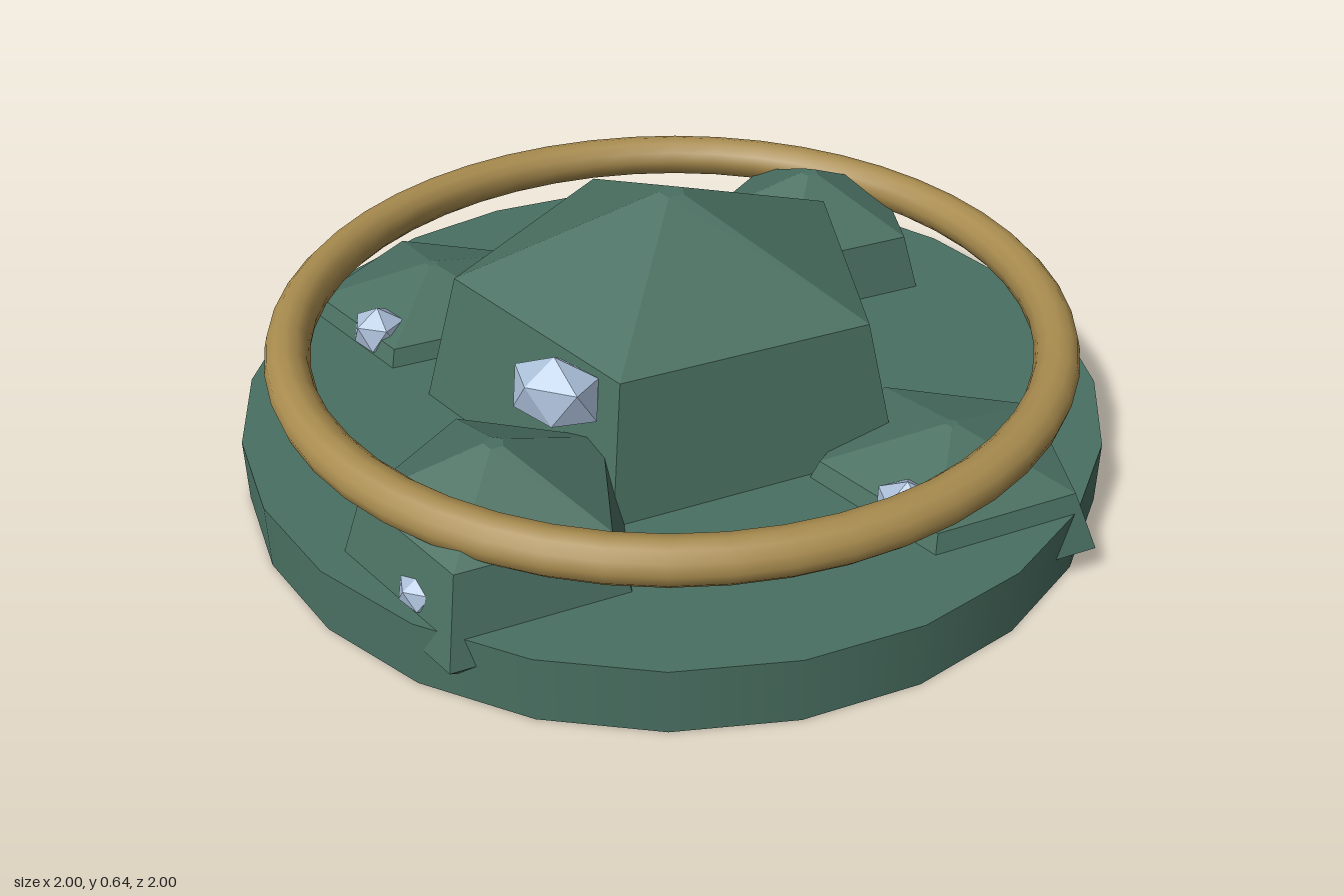
import * as THREE from 'three';

const mat = (name, color) => new THREE.MeshStandardMaterial({ name, color });

// Splits shared corners so every face is shaded flat
function faceted(geometry) {
  const flat = geometry.index ? geometry.toNonIndexed() : geometry;
  flat.computeVertexNormals();
  return flat;
}

// Five-sided rock with one corner towards +x, from [radius, y] pairs, bottom to top
function rockGeometry(profile) {
  const points = profile.map(([r, y]) => new THREE.Vector2(r, y));
  return faceted(new THREE.LatheGeometry(points, 5).rotateY(Math.PI / 2));
}

export function createModel() {
  const model = new THREE.Group();
  const green = mat('mossGreen', 0x4a7062);
  const gold = mat('oldGold', 0xa88b4e);
  const blue = mat('paleCrystal', 0xabbfd8);
  const cx = -0.022;

  const add = (name, geometry, material, x, y, z) => {
    const mesh = new THREE.Mesh(geometry, material);
    mesh.name = name;
    mesh.position.set(x, y, z);
    model.add(mesh);
    return mesh;
  };

  // Round slab
  add('base', new THREE.CylinderGeometry(0.975, 0.975, 0.15, 24), green, cx, 0.075, 0);

  // Large central rock
  add('centralRock', rockGeometry([
    [0, 0.05], [0.57, 0.1], [0.56, 0.15], [0.482, 0.45], [0.03, 0.64], [0, 0.64],
  ]), green, cx, 0, 0);

  // Low rocks left and right; their lower corners poke through the slab's rim
  const lowRock = rockGeometry([
    [0, 0.01], [0.25, 0.015], [0.337, 0.07], [0.28, 0.19], [0.015, 0.268], [0, 0.268],
  ]);
  // Taller rocks front and back
  const tallRock = rockGeometry([
    [0, 0.01], [0.25, 0.02], [0.331, 0.09], [0.27, 0.28], [0.022, 0.393], [0, 0.393],
  ]);
  for (const s of [1, -1]) {
    add(s > 0 ? 'leftRock' : 'rightRock', lowRock, green, cx + s * 0.685, 0, 0);
    add(s > 0 ? 'frontRock' : 'backRock', tallRock, green, cx, 0, s * 0.685);
  }

  // Floating ring
  add('ring', new THREE.TorusGeometry(0.857, 0.05, 12, 48).rotateX(Math.PI / 2),
    gold, cx, 0.315, 0);

  // Crystals, each with one point straight up
  const gem = faceted(new THREE.IcosahedronGeometry(1, 0)
    .rotateZ(Math.atan(2 / (1 + Math.sqrt(5)))));
  const crystals = [
    ['centralCrystal', -0.015, 0.395, 0.48, 0.11, 0.085, 0.075],
    ['rightCrystal', -0.71, 0.185, 0.21, 0.07, 0.062, 0.062],
    ['leftCrystal', 0.655, 0.185, 0.21, 0.07, 0.062, 0.062],
    ['frontCrystal', -0.042, 0.178, 0.915, 0.055, 0.042, 0.045],
  ];
  for (const [name, x, y, z, sx, sy, sz] of crystals) {
    add(name, gem, blue, x, y, z).scale.set(sx, sy, sz);
  }

  return model;
}
